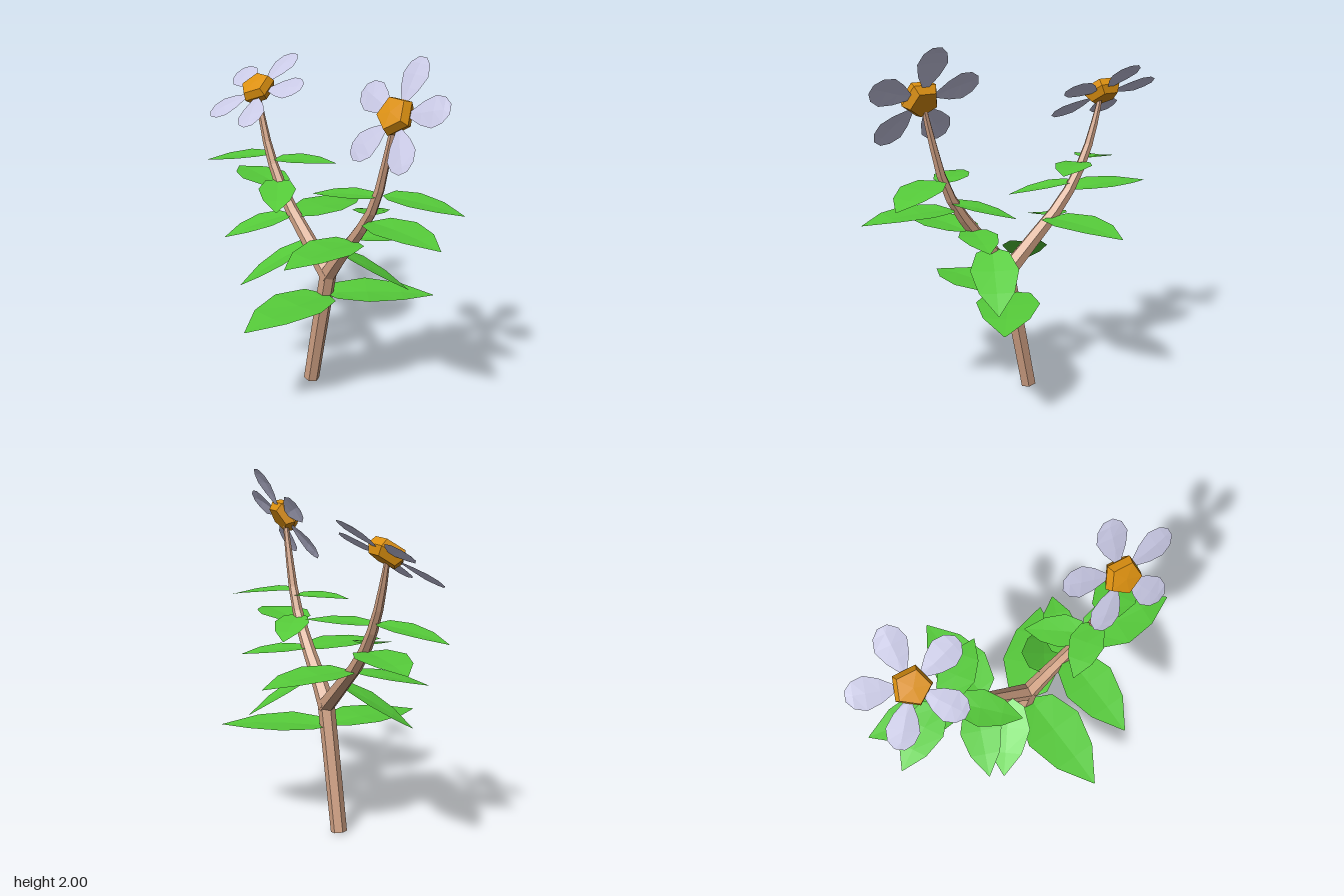
import * as THREE from 'three';

const V = (x, y, z) => new THREE.Vector3(x, y, z);
const mat = (color, side = THREE.FrontSide) =>
  new THREE.MeshStandardMaterial({ color, flatShading: true, side });

const barkMat = mat(0xcfa083);
const leafMat = mat(0x56cc3a, THREE.DoubleSide);
const petalMat = mat(0xc8c8e4, THREE.DoubleSide);
const heartMat = mat(0xdc9010);

const STEM_Z = -0.04;

function build(positions, index) {
  const geo = new THREE.BufferGeometry();
  geo.setAttribute('position', new THREE.Float32BufferAttribute(positions, 3));
  geo.setIndex(index);
  const flat = geo.toNonIndexed();
  flat.computeVertexNormals();
  return flat;
}

function addMesh(parent, name, geo, material) {
  const mesh = new THREE.Mesh(geo, material);
  mesh.name = name;
  parent.add(mesh);
  return mesh;
}

// Tapered six-sided limb along a curve in the upright plane z = STEM_Z
function limb(points, r0, r1, rings) {
  const curve = new THREE.CatmullRomCurve3(points.map(([x, y]) => V(x, y, STEM_Z)));
  const sides = 6, pos = [], idx = [];
  for (let i = 0; i <= rings; i++) {
    const t = i / rings, p = curve.getPoint(t), d = curve.getTangent(t);
    const r = r0 + (r1 - r0) * t;
    for (let j = 0; j < sides; j++) {
      const a = (j / sides) * Math.PI * 2, c = Math.cos(a) * r;
      pos.push(p.x + d.y * c, p.y - d.x * c, p.z + Math.sin(a) * r);
      if (i < rings) {
        const a0 = i * sides + j, a1 = i * sides + (j + 1) % sides;
        idx.push(a0, a0 + sides, a1, a1, a0 + sides, a1 + sides);
      }
    }
  }
  // end caps
  for (let j = 1; j < sides - 1; j++) {
    const e = rings * sides;
    idx.push(0, j, j + 1, e, e + j + 1, e + j);
  }
  return build(pos, idx);
}

// Folded blade along +z, upper face +y; rows are [t, halfWidth, midHeight, edgeHeight]
function blade(rows, length) {
  const pos = [], idx = [];
  rows.forEach(([t, w, mid, edge], i) => {
    pos.push(-w * length, edge * length, t * length);
    pos.push(0, mid * length, t * length);
    pos.push(w * length, edge * length, t * length);
    if (i === rows.length - 1) return;
    for (let k = 0; k < 2; k++) {
      const a = i * 3 + k;
      idx.push(a, a + 3, a + 1, a + 1, a + 3, a + 4);
    }
  });
  return build(pos, idx);
}

const LEAF = [
  [0, 0.01, 0, 0], [0.1, 0.19, 0.01, 0.03], [0.38, 0.28, 0.025, 0.045],
  [0.7, 0.2, 0.025, 0.035], [1, 0.005, 0, 0],
];
const PETAL = [
  [0, 0.08, 0, 0], [0.3, 0.26, 0.02, 0.0], [0.6, 0.36, 0.03, 0.0],
  [0.85, 0.28, 0.02, 0.005], [1, 0.11, 0, 0],
];

// Leaf from its base to its tip, upper face kept skyward
function addLeaf(parent, base, tip) {
  const dir = V(...tip).sub(V(...base));
  const leaf = addMesh(parent, 'leaf', blade(LEAF, dir.length()), leafMat);
  dir.normalize();
  const side = V(0, 1, 0).cross(dir).normalize();
  leaf.quaternion.setFromRotationMatrix(
    new THREE.Matrix4().makeBasis(side, dir.clone().cross(side), dir));
  leaf.position.set(...base);
}

// Flower built facing +y with its first petal towards -z, then tilted forward
function addFlower(parent, name, position, tilt) {
  const flower = new THREE.Group();
  flower.name = name;
  const profile = [[0, -0.045], [0.08, -0.045], [0.107, 0], [0.09, 0.045], [0, 0.05]];
  addMesh(flower, 'flowerCentre',
    new THREE.LatheGeometry(profile.map(([x, y]) => new THREE.Vector2(x, y)), 5), heartMat);
  for (let i = 0; i < 5; i++) {
    const a = Math.PI + (i / 5) * Math.PI * 2;
    const petal = addMesh(flower, 'petal', blade(PETAL, 0.24), petalMat);
    petal.rotation.y = a;
    petal.position.set(Math.sin(a) * 0.08, -0.01, Math.cos(a) * 0.08);
  }
  flower.position.set(...position);
  flower.rotation.x = tilt;
  parent.add(flower);
}

export function createModel() {
  const plant = new THREE.Group();
  plant.name = 'floweringPlant';

  // Trunk and the two branches
  addMesh(plant, 'trunk', limb([[-0.11, 0.01], [-0.035, 0.37], [0.045, 0.74]], 0.046, 0.048, 3), barkMat);
  addMesh(plant, 'rightBranch', limb(
    [[0.05, 0.71], [-0.15, 0.89], [-0.35, 1.08], [-0.49, 1.3], [-0.57, 1.52], [-0.605, 1.66]],
    0.05, 0.012, 9), barkMat);
  addMesh(plant, 'leftBranch', limb(
    [[0.03, 0.71], [0.15, 0.87], [0.285, 1.03], [0.42, 1.24], [0.5, 1.5], [0.55, 1.71]],
    0.05, 0.014, 9), barkMat);

  // Leaves as [base, tip], from the lowest up
  const leaves = [
    [[0.04, 0.6, -0.04], [0.12, 0.58, 0.59]],
    [[0.02, 0.6, -0.04], [0.39, 0.58, -0.53]],
    [[-0.1, 0.87, -0.02], [-0.32, 0.63, 0.31]],
    [[0.14, 0.88, -0.04], [0.33, 0.63, -0.39]],
    [[0.28, 0.99, -0.04], [0.34, 0.98, 0.49]],
    [[-0.24, 0.99, -0.04], [-0.32, 0.98, -0.59]],
    [[-0.3, 0.99, -0.04], [-0.42, 0.9, 0.34]],
    [[0.27, 1.0, -0.04], [0.39, 0.98, -0.4]],
    [[-0.4, 1.13, -0.04], [-0.9, 1.13, -0.1]],
    [[0.38, 1.13, -0.04], [0.91, 1.125, -0.03]],
    [[-0.42, 1.17, -0.04], [-0.13, 1.09, 0.19]],
    [[0.4, 1.17, -0.04], [0.13, 1.09, -0.26]],
    [[-0.46, 1.28, -0.04], [-0.17, 1.28, -0.27]],
    [[0.44, 1.28, -0.04], [0.18, 1.28, 0.18]],
    [[-0.5, 1.3, -0.04], [-0.83, 1.235, 0.18]],
    [[0.48, 1.3, -0.04], [0.84, 1.235, -0.265]],
  ];
  leaves.forEach(([base, tip]) => addLeaf(plant, base, tip));

  // Flowers, the right one looking further up
  addFlower(plant, 'rightFlower', [-0.61, 1.67, -0.045], 0.6);
  addFlower(plant, 'leftFlower', [0.56, 1.73, -0.04], 1.03);

  return plant;
}
